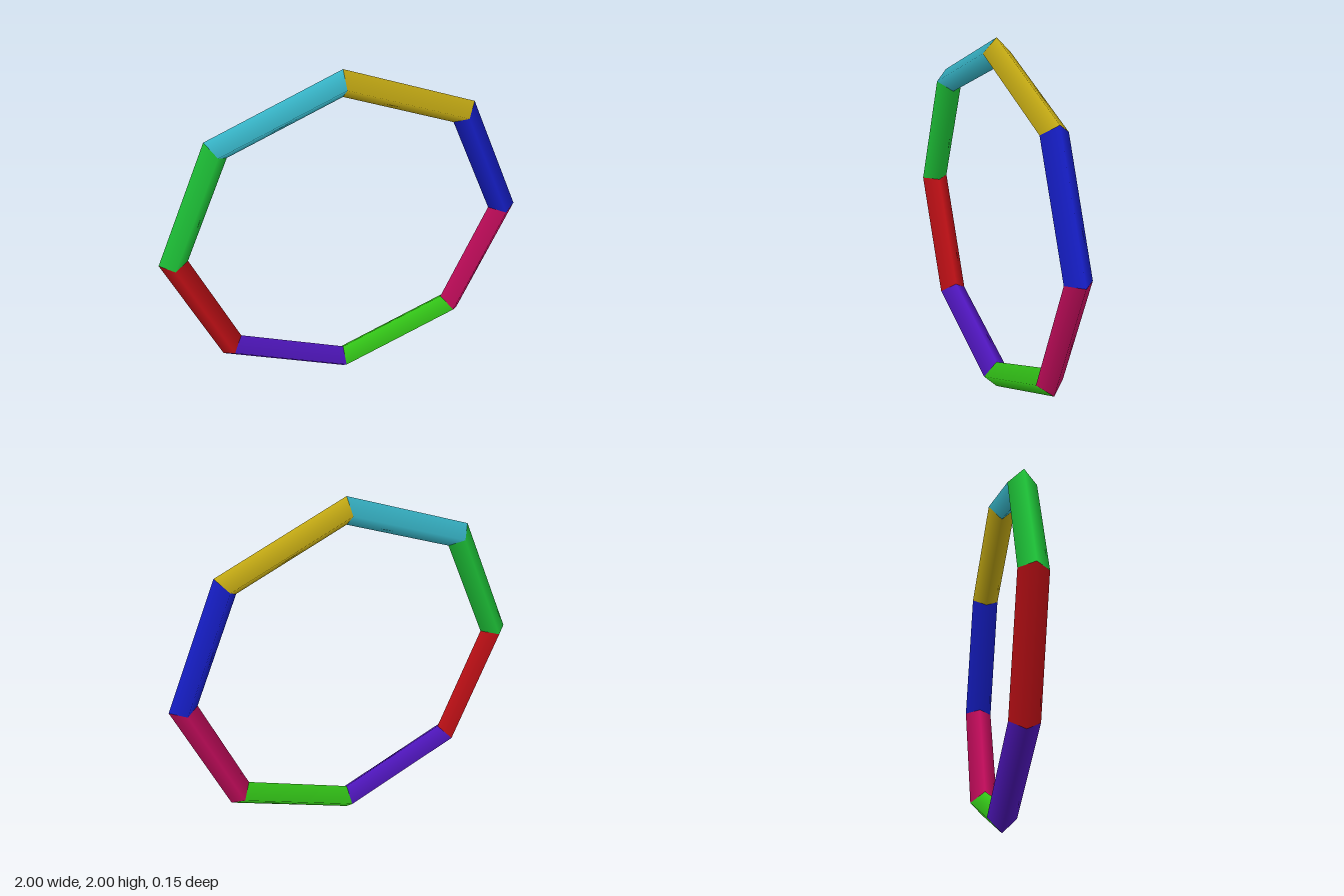
import * as THREE from 'three';

const RING = 0.923, TUBE = 0.077, STEP = Math.PI / 4;

// One straight mitred bar with a diamond section, shaded round its section
function barGeometry() {
  const geo = new THREE.TorusGeometry(RING, TUBE, 4, 1, STEP);
  const { uv, normal } = geo.attributes;
  const mid = STEP / 2;
  for (let i = 0; i < normal.count; i++) {
    const v = uv.getY(i) * Math.PI * 2;
    normal.setXYZ(i, Math.cos(v) * Math.cos(mid), Math.cos(v) * Math.sin(mid), Math.sin(v));
  }
  return geo;
}

export function createModel() {
  const group = new THREE.Group();
  group.name = 'octagonRing';
  // Counter-clockwise from the model's left (+x)
  const bars = [
    ['blueBar', 0x161ec8],
    ['yellowBar', 0xc4aa14],
    ['cyanBar', 0x38b7ca],
    ['greenBar', 0x1ec438],
    ['redBar', 0xc01016],
    ['purpleBar', 0x5016be],
    ['limeBar', 0x34c818],
    ['pinkBar', 0xc40c5c],
  ];
  const geo = barGeometry();
  bars.forEach(([name, color], i) => {
    const bar = new THREE.Mesh(geo, new THREE.MeshStandardMaterial({ color }));
    bar.name = name;
    bar.position.y = 1;
    bar.rotation.z = i * STEP;
    group.add(bar);
  });
  return group;
}
